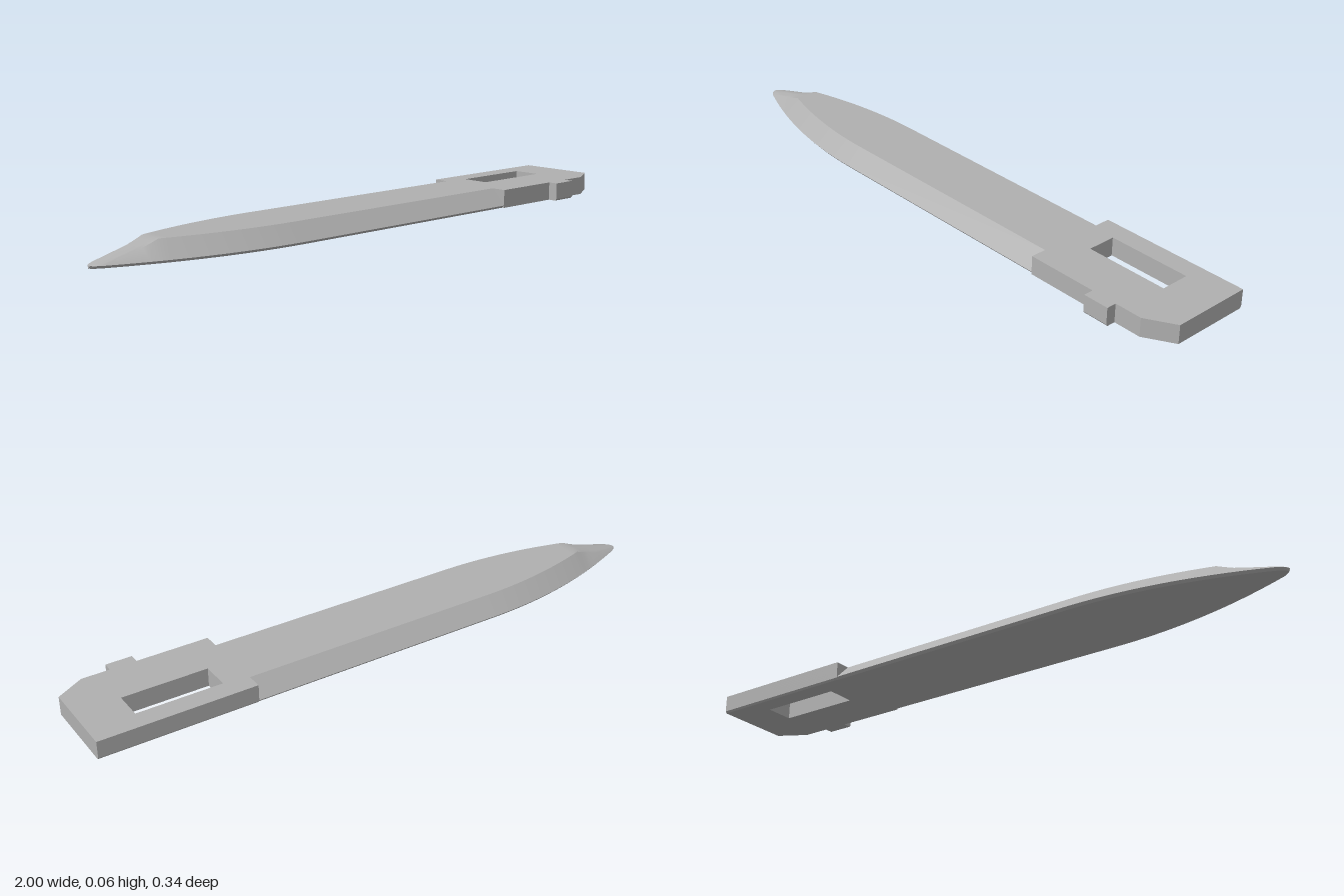
import * as THREE from 'three';
import { toCreasedNormals } from 'three/addons/utils/BufferGeometryUtils.js';

const H = 0.06;       // thickness
const EDGE = 0.008;   // height of the cutting edge
const ZC = -0.016;    // centre line of the blade
const W = 0.156;      // half width
const { lerp, clamp } = THREE.MathUtils;

// Half width of the blade: straight, then curving in to a small round nose
function halfWidth(x) {
  const k = Math.max(0, (-0.36 - x) / 0.62);
  const body = W - 0.131 * k * k;
  const nose = clamp((x + 1) / 0.025, 0, 1);
  return body * Math.sqrt(1 - (1 - nose) ** 2);
}

// One cross-section, running from the +z side over the top to the -z side
function section(x) {
  const w = halfWidth(x);
  const n = clamp((x + 1) / 0.2, 0, 1);
  const h = lerp(EDGE + 0.001, H, n);
  const round = 1 - n;
  const t = Math.max(w - 0.051, w * 0.3);
  const pts = [[Math.max(0, w - 0.007), 0], [w, EDGE]];
  const steps = 10;
  for (let i = 0; i <= steps; i++) {
    const a = Math.PI * (0.12 + 0.76 * i / steps);
    const z = lerp(t * (1 - 2 * i / steps), w * Math.cos(a), round);
    const y = lerp(h, EDGE + (h - EDGE) * Math.sin(a), round);
    pts.push([z, y]);
  }
  pts.push([-w, EDGE], [-Math.max(0, w - 0.007), 0]);
  return pts.map(([z, y]) => [x, y, z + ZC]);
}

function bladeGeometry() {
  const xs = [-1, -0.998, -0.994, -0.987, -0.975];
  for (let x = -0.95; x < -0.37; x += 0.025) xs.push(x);
  xs.push(-0.36, 0.5);
  const rings = xs.map(section);
  const m = rings[0].length;
  const index = [];
  for (let i = 0; i < rings.length - 1; i++) {
    for (let j = 0; j < m; j++) {
      const a = i * m + j, d = i * m + (j + 1) % m;
      index.push(a, a + m, d + m, a, d + m, d);
    }
  }
  // Flat cap at the handle end
  const last = (rings.length - 1) * m;
  for (let j = 1; j < m - 1; j++) index.push(last, last + j + 1, last + j);
  const g = new THREE.BufferGeometry();
  g.setAttribute('position', new THREE.Float32BufferAttribute(rings.flat(2), 3));
  g.setIndex(index);
  return toCreasedNormals(g, 0.45);
}

function handleGeometry() {
  // Outline drawn in x and -z, so that the extrusion points up
  const path = (pts) => pts.map(([x, z]) => new THREE.Vector2(x, -z));
  const shape = new THREE.Shape(path([
    [0.5, -0.172], [0.5, 0.14], [0.735, 0.14], [0.735, 0.172], [0.82, 0.172],
    [0.82, 0.14], [0.91, 0.14], [1, 0.088], [1, -0.172],
  ]));
  shape.holes.push(new THREE.Path(path([
    [0.58, -0.107], [0.855, -0.107], [0.855, -0.013], [0.58, -0.013],
  ])));
  const g = new THREE.ExtrudeGeometry(shape, { depth: H, steps: 10, bevelEnabled: false });
  g.rotateX(-Math.PI / 2);
  // Ease the lowest corners of the long sides
  const p = g.attributes.position;
  for (let i = 0; i < p.count; i++) {
    if (p.getY(i) < 0.001) p.setZ(i, clamp(p.getZ(i), -0.167, 0.167));
  }
  g.computeVertexNormals();
  return g;
}

export function createModel() {
  const group = new THREE.Group();
  group.name = 'flatBlade';
  const grey = new THREE.MeshStandardMaterial({ color: 0xb0b0b0 });
  grey.name = 'plain grey';
  const add = (name, geometry) => {
    const mesh = new THREE.Mesh(geometry, grey);
    mesh.name = name;
    group.add(mesh);
  };
  add('blade', bladeGeometry());
  add('slottedHandle', handleGeometry());
  return group;
}
